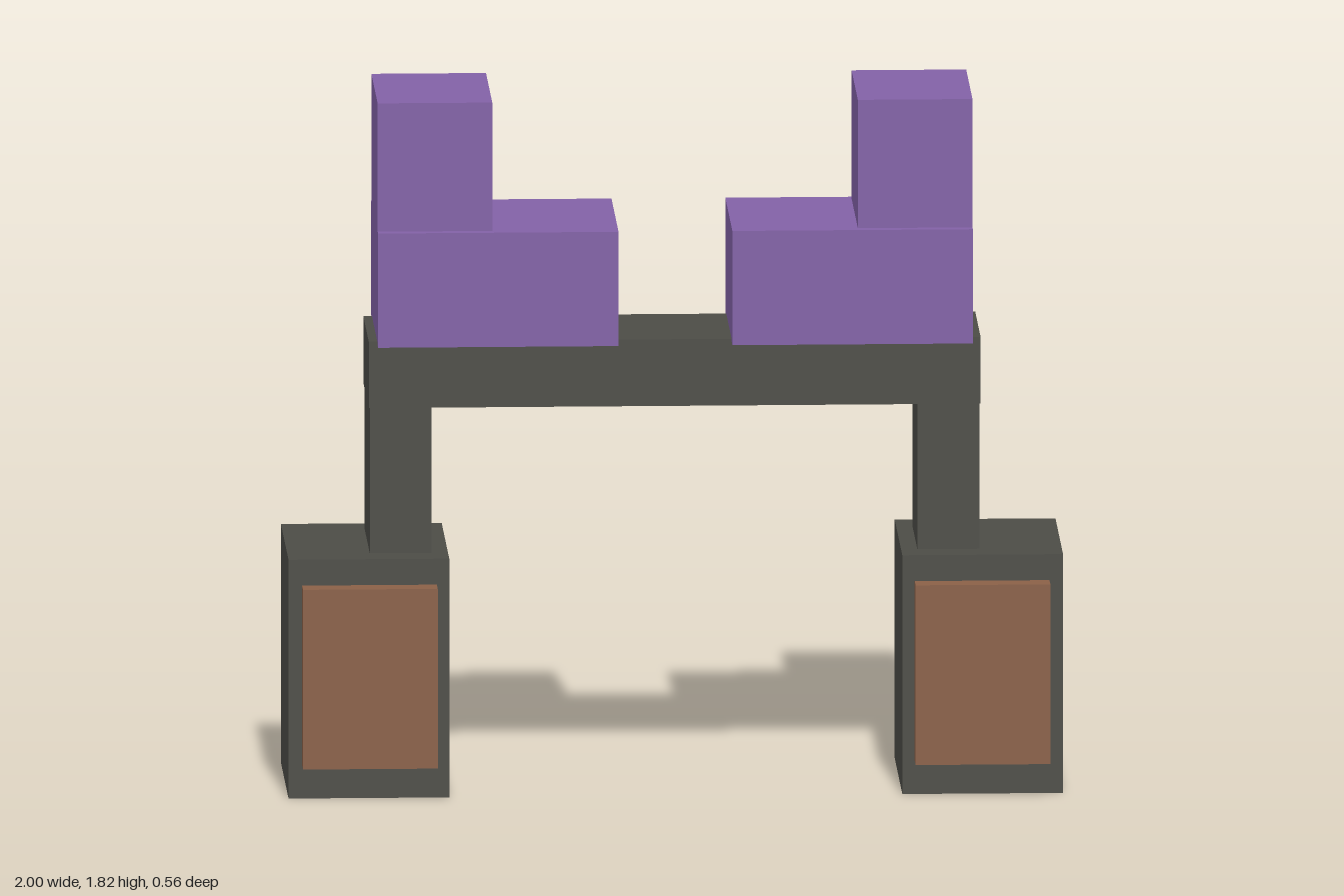
import * as THREE from 'three';

export function createModel() {
  const model = new THREE.Group();
  const material = (name, color) => new THREE.MeshStandardMaterial({ name, color });
  const charcoal = material('charcoal', 0x4c4c46);
  const purple = material('purple', 0x8261a6);
  const brown = material('brown', 0x8a6047);

  // Box given by its [min, max] extent on each axis
  function box(name, mat, [x0, x1], [y0, y1], [z0, z1]) {
    const mesh = new THREE.Mesh(new THREE.BoxGeometry(x1 - x0, y1 - y0, z1 - z0), mat);
    mesh.position.set((x0 + x1) / 2, (y0 + y1) / 2, (z0 + z1) / 2);
    mesh.name = name;
    model.add(mesh);
  }

  // Same box on both sides, mirrored in x
  function pair(name, mat, [x0, x1], y, z) {
    box('left' + name, mat, [x0, x1], y, z);
    box('right' + name, mat, [-x1, -x0], y, z);
  }

  // Crossbeam joining both sides
  box('crossbeam', charcoal, [-0.79, 0.79], [1.01, 1.185], [-0.204, 0.146]);

  // Legs: foot block, raised front panel and post
  pair('Foot', charcoal, [0.585, 1], [0, 0.627], [-0.278, 0.219]);
  pair('FootPanel', brown, [0.617, 0.965], [0.087, 0.559], [0.21, 0.278]);
  pair('Post', charcoal, [0.627, 0.787], [0.627, 1.01], [-0.194, 0.136]);

  // Shoulders: wide block with a tower on its outer end
  pair('ShoulderBlock', purple, [0.147, 0.768], [1.178, 1.478], [-0.264, 0.198]);
  pair('ShoulderTower', purple, [0.472, 0.768], [1.478, 1.815], [-0.238, 0.172]);

  return model;
}
